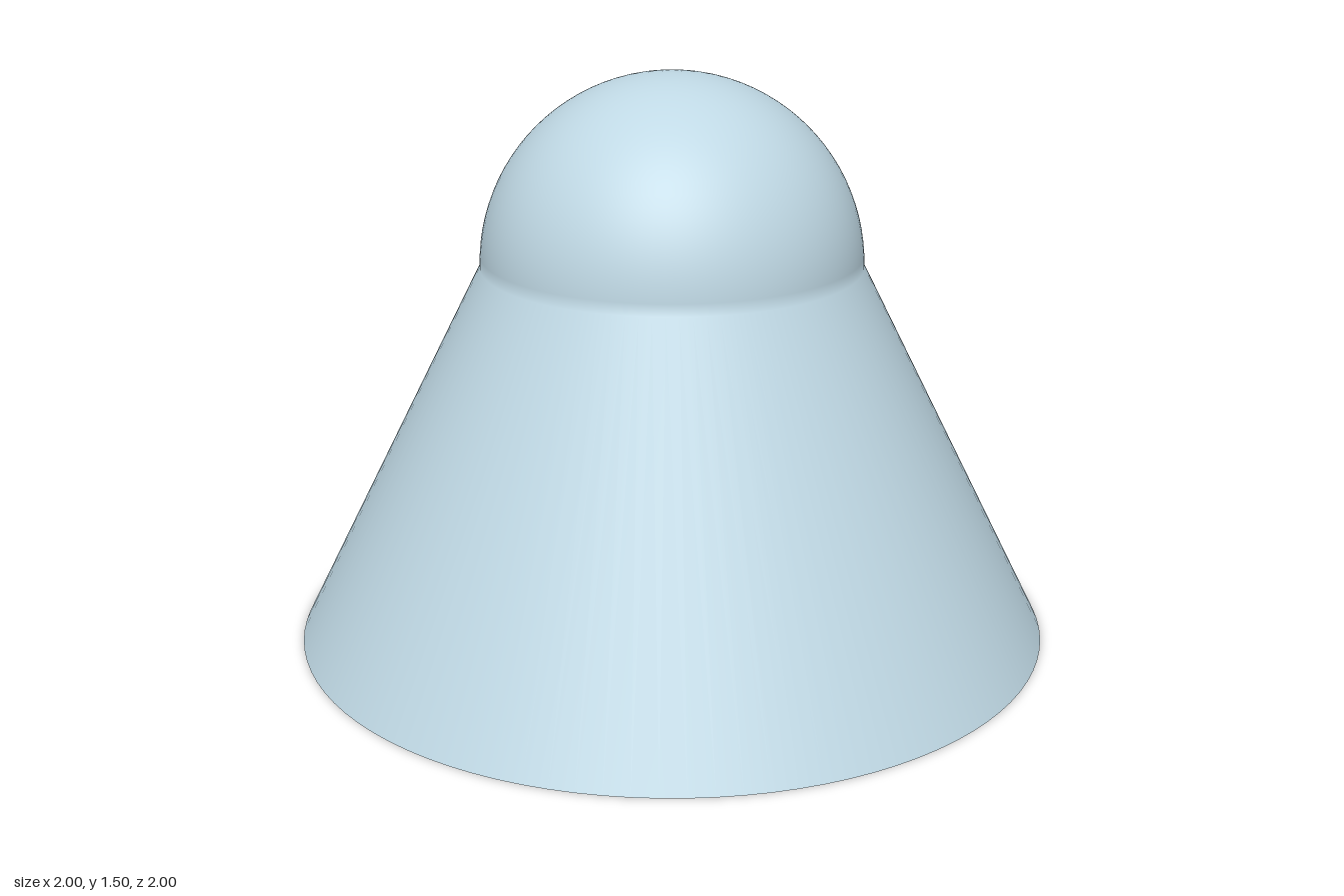
import * as THREE from 'three';

const SEGMENTS = 96;
const WALL = 0.07;

// Profile of a cone flaring down from a hemispherical dome, bottom to top
function shellProfile(inset) {
  const radius = 0.5 - inset;
  const points = [new THREE.Vector2(1 - inset, 0)];
  const steps = 24;
  for (let i = 0; i <= steps; i++) {
    const a = (i / steps) * Math.PI / 2;
    points.push(new THREE.Vector2(i === steps ? 0 : radius * Math.cos(a), 1 + radius * Math.sin(a)));
  }
  return points;
}

export function createModel() {
  const group = new THREE.Group();
  group.name = 'domedCone';
  const material = new THREE.MeshStandardMaterial({ color: 0xbfd8e4 });

  const addLathe = (name, points) => {
    const mesh = new THREE.Mesh(new THREE.LatheGeometry(points, SEGMENTS), material);
    mesh.name = name;
    group.add(mesh);
  };

  // Outside runs upward, inside runs downward so it faces the hollow
  addLathe('outerShell', shellProfile(0));
  addLathe('innerShell', shellProfile(WALL).reverse());

  // Flat ring closing the wall at the base
  addLathe('bottomRim', [new THREE.Vector2(1 - WALL, 0), new THREE.Vector2(1, 0)]);

  return group;
}
